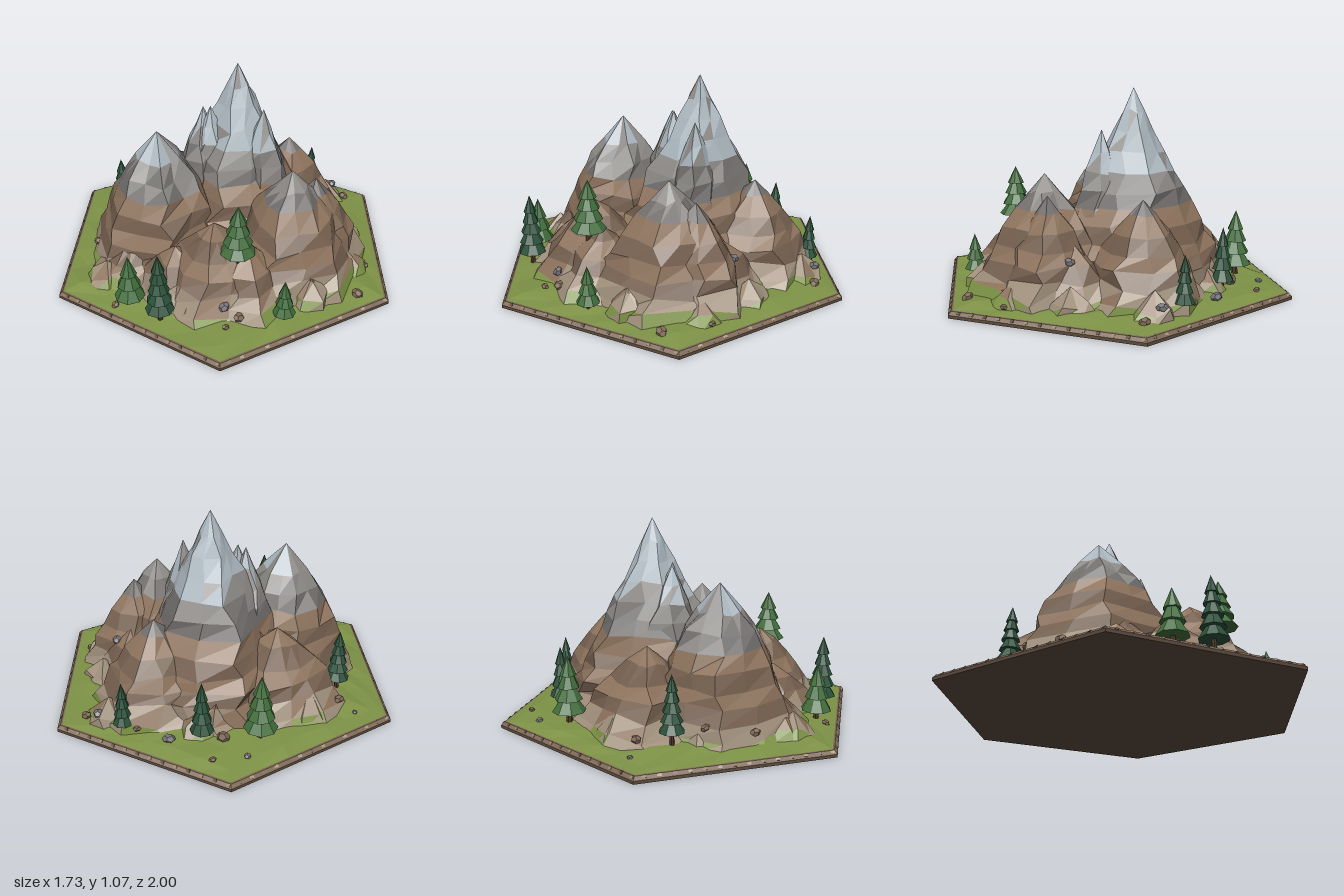
import * as THREE from 'three';

const COLORS = {
  grass: 0x7d9246, scree: 0xa0907c, lightEarth: 0x8d735d, darkEarth: 0x745f4e,
  lightRock: 0x8d8a87, darkRock: 0x716e6c, snow: 0xacb7bf,
};
const materials = {};
const paint = (color) => (materials[color] ??= new THREE.MeshStandardMaterial({ color, flatShading: true }));

function seeded(seed) {
  let s = seed * 7919 + 13;
  return () => {
    s = (s * 16807 + 11) % 2147483647;
    return s / 2147483647;
  };
}

// Distance of a point from the centre, measured towards the nearest hexagon side
const hexDistance = (x, z) => Math.max(Math.abs(x), Math.abs(x) / 2 + Math.abs(z) * 0.866);

// Width of a mountain at a fraction u of its height: bulge 0 is a straight cone, 1 the rounded profile
const PROFILE = [[0, 1], [0.1, 0.88], [0.3, 0.72], [0.54, 0.55], [0.64, 0.46], [0.8, 0.27], [1, 0]];
function widthAt(u, bulge) {
  const i = PROFILE.findIndex(([b]) => u <= b);
  const [a, ra] = PROFILE[i - 1], [b, rb] = PROFILE[i];
  return THREE.MathUtils.lerp(1 - u, ra + ((rb - ra) * (u - a)) / (b - a), bulge);
}

// x, z, height, base radius, sides, bulge
const PEAKS = [
  [0.06, -0.155, 1.07, 0.53, 10, 0],
  [-0.125, -0.1, 0.84, 0.29, 7, 1],
  [-0.085, -0.085, 0.85, 0.29, 7, 1],
  [0.2, -0.03, 0.86, 0.27, 7, 0.9],
  [-0.36, 0.08, 0.78, 0.46, 12, 1.25],
  [0.35, 0.225, 0.64, 0.45, 11, 1],
  [0.48, 0.15, 0.55, 0.34, 9, 1],
  [0.36, -0.31, 0.54, 0.38, 10, 1],
  [-0.28, -0.28, 0.46, 0.42, 11, 1],
  [-0.05, 0.43, 0.45, 0.38, 11, 1],
  [0.1, 0.47, 0.36, 0.33, 9, 1],
  [0.5, 0, 0.32, 0.27, 9, 1],
  [0.06, -0.4, 0.4, 0.29, 9, 1],
  [-0.49, 0.29, 0.28, 0.29, 9, 1],
  [-0.25, 0.43, 0.3, 0.3, 9, 1],
  // Low rubble mounds around the foot
  ...[[-0.62, 0.38, 0.16], [-0.15, 0.63, 0.17], [0.13, 0.63, 0.15], [0.45, 0.52, 0.18], [0.66, 0.25, 0.16],
    [0.66, -0.05, 0.16], [0.6, -0.45, 0.17], [0.12, -0.57, 0.17], [-0.43, -0.47, 0.19], [-0.58, -0.08, 0.16]]
    .map(([x, z, h]) => [x, z, h, 0.17, 7, 0.7]),
];
const LEVELS = [0.015, 0.085, 0.16, 0.23, 0.3, 0.38, 0.47, 0.55, 0.64, 0.74, 0.85, 0.95];

// Rock strata by height, with loose patches at the foot and near the snow line
function bandName(y, chance) {
  if (y < 0.085) return chance < 0.45 ? 'grass' : 'scree';
  if (y < 0.165) return chance < 0.7 ? 'scree' : 'lightEarth';
  if (y < 0.23) return 'darkEarth';
  if (y < 0.31) return 'lightEarth';
  if (y < 0.38) return 'darkEarth';
  if (y < 0.47) return 'lightEarth';
  if (y < 0.56) return chance < 0.7 ? 'darkRock' : 'lightRock';
  if (y < 0.64) return chance < 0.7 ? 'lightRock' : 'darkRock';
  if (y < 0.71) return chance < 0.55 ? 'snow' : 'lightRock';
  return chance < 0.92 ? 'snow' : 'lightRock';
}

// Stacked uneven rings closed by an apex; each triangle goes to its stratum
function addPeak(bands, [cx, cz, h, radius, sides, bulge], seed) {
  const rnd = seeded(seed + 3);
  const ridges = Array.from({ length: sides }, (_, i) => 0.98 + (i % 2 ? 0.07 : -0.07) + (rnd() - 0.5) * 0.1);
  const turn = rnd() * 6.28;
  const rings = LEVELS.filter((y) => y < h * 0.9).map((y, k) =>
    ridges.map((ridge, i) => {
      const a = turn + ((i + (rnd() - 0.5) * 0.4) / sides) * Math.PI * 2;
      const r = radius * widthAt(y / h, bulge) * ridge * (0.95 + rnd() * 0.11);
      const x = cx + Math.sin(a) * r, z = cz + Math.cos(a) * r;
      const fit = Math.min(1, 0.79 / hexDistance(x, z));
      const lift = k === 0 ? 0 : (rnd() - 0.5) * (k < 3 ? 0.05 : 0.025);
      return [x * fit, y + lift, z * fit];
    }));
  rings.push(ridges.map(() => [cx, h, cz]));
  const face = (a, b, c) => bands[bandName((a[1] + b[1] + c[1]) / 3, rnd())].push(...a, ...b, ...c);
  for (let k = 0; k + 1 < rings.length; k++) {
    for (let i = 0; i < sides; i++) {
      const j = (i + 1) % sides, low = rings[k], high = rings[k + 1];
      face(low[i], low[j], high[j]);
      if (k + 2 < rings.length) face(low[i], high[j], high[i]);
    }
  }
}

// Gently uneven meadow, rising towards the middle
function addMeadow(bands) {
  const rnd = seeded(91);
  const n = 36;
  const rings = [[0.972, 0.034], [0.87, 0.048], [0.74, 0.06], [0.5, 0.075]].map(([scale, y], k) =>
    Array.from({ length: n }, (_, i) => {
      const a = (i / n) * Math.PI * 2;
      const r = (0.866 * scale * (k ? 0.98 + rnd() * 0.05 : 1)) / hexDistance(Math.sin(a), Math.cos(a));
      return [Math.sin(a) * r, y + (k ? (rnd() - 0.5) * 0.02 : 0), Math.cos(a) * r];
    }));
  for (let k = 0; k < 3; k++) {
    for (let i = 0; i < n; i++) {
      const j = (i + 1) % n, low = rings[k], high = rings[k + 1];
      bands.grass.push(...low[i], ...low[j], ...high[j], ...low[i], ...high[j], ...high[i]);
    }
  }
}

function addMesh(parent, name, geometry, color, x = 0, y = 0, z = 0) {
  const mesh = new THREE.Mesh(geometry, paint(color));
  mesh.name = name;
  mesh.position.set(x, y, z);
  parent.add(mesh);
  return mesh;
}

// Fir tree: trunk and overlapping, slightly twisted cone tiers
function makeTree(x, z, base, top, radius, tiers, color) {
  const tree = new THREE.Group();
  tree.name = 'firTree';
  const h = top - base, start = h * 0.14;
  addMesh(tree, 'trunk', new THREE.CylinderGeometry(radius * 0.14, radius * 0.2, h * 0.3 + 0.03, 6), 0x4a3626, 0, h * 0.15 - 0.015, 0);
  const step = (h - start) / (tiers + 0.6);
  for (let i = 0; i < tiers; i++) {
    const r = radius * (1 - (i / tiers) * 0.68);
    const tierHeight = step * 1.6;
    const tier = addMesh(tree, 'foliageTier', new THREE.CylinderGeometry(i === tiers - 1 ? 0 : r * 0.2, r, tierHeight, 8), color,
      0, start + i * step + tierHeight / 2, 0);
    tier.rotation.y = i * 0.5 + x * 5;
  }
  tree.position.set(x, base, z);
  return tree;
}

export function createModel() {
  const model = new THREE.Group();

  // Hexagonal slab with a pale earthen rim
  const slab = new THREE.Group();
  slab.name = 'slab';
  addMesh(slab, 'earthBase', new THREE.CylinderGeometry(1, 1, 0.016, 6), 0x5a493d, 0, 0.008, 0);
  addMesh(slab, 'earthRim', new THREE.CylinderGeometry(0.982, 1, 0.016, 6), 0x7d6855, 0, 0.024, 0);
  const rimRnd = seeded(5);
  for (let s = 0; s < 6; s++) {
    const a = (s * Math.PI) / 3 + Math.PI / 2;
    for (let i = 0; i < 14; i++) {
      const t = (i - 6.5) / 14;
      const clod = addMesh(slab, 'rimClod', new THREE.ConeGeometry(0.012, 0.05, 4), i % 2 ? 0x9c8870 : 0x655343,
        Math.sin(a) * 0.852 + Math.cos(a) * t, 0.023, Math.cos(a) * 0.852 - Math.sin(a) * t);
      clod.rotation.set(0, a, Math.PI / 2 + (rimRnd() - 0.5) * 0.15);
    }
  }
  model.add(slab);

  // Mountain range and meadow, one mesh per stratum
  const terrain = new THREE.Group();
  terrain.name = 'terrain';
  const bands = Object.fromEntries(Object.keys(COLORS).map((name) => [name, []]));
  addMeadow(bands);
  PEAKS.forEach((peak, i) => addPeak(bands, peak, i));
  for (const [name, points] of Object.entries(bands)) {
    const geometry = new THREE.BufferGeometry();
    geometry.setAttribute('position', new THREE.Float32BufferAttribute(points, 3));
    geometry.computeVertexNormals();
    addMesh(terrain, name, geometry, COLORS[name]);
  }
  model.add(terrain);
  terrain.updateMatrixWorld(true);

  // Trees: x, z, base, top, radius, tiers, color
  const fir = 0x426e3d, spruce = 0x2a513a;
  [
    [-0.475, 0.58, 0.06, 0.34, 0.08, 3, fir], [-0.31, 0.695, 0.06, 0.44, 0.075, 5, spruce],
    [0.075, 0.535, 0.31, 0.62, 0.092, 4, fir], [0.31, 0.67, 0.05, 0.275, 0.06, 3, fir],
    [0.52, -0.57, 0.06, 0.33, 0.052, 4, spruce], [0.125, -0.66, 0.06, 0.38, 0.062, 4, spruce],
    [-0.165, -0.665, 0.07, 0.41, 0.088, 4, fir], [-0.62, -0.25, 0.08, 0.41, 0.065, 5, spruce],
  ].forEach((t) => model.add(makeTree(...t)));

  // Boulders resting on the ground: x, z, size
  const rnd = seeded(17);
  const ray = new THREE.Raycaster();
  const down = new THREE.Vector3(0, -1, 0);
  [
    [-0.09, -0.81, 0.02], [0.08, -0.83, 0.02], [0.02, -0.68, 0.04], [0.29, -0.67, 0.035], [0.45, -0.6, 0.022],
    [-0.6, -0.42, 0.03], [-0.68, -0.47, 0.015], [-0.67, -0.1, 0.025], [-0.71, 0.14, 0.028], [0.58, -0.01, 0.03],
    [0.77, 0.25, 0.02], [0.7, 0.49, 0.032], [0.01, 0.69, 0.03], [0.085, 0.72, 0.03], [0.02, 0.77, 0.02],
    [0.65, -0.5, 0.03], [0.72, -0.44, 0.03], [-0.55, 0.6, 0.022],
  ].forEach(([x, z, size], i) => {
    ray.set(new THREE.Vector3(x, 2, z), down);
    const ground = ray.intersectObject(terrain, true)[0].point.y;
    const rock = addMesh(model, 'boulder', new THREE.DodecahedronGeometry(size, 0), i % 3 ? 0x806a58 : 0x77757a, x, ground + size * 0.3, z);
    rock.scale.set(1, 0.7, 0.85);
    rock.rotation.set(rnd() * 0.6, rnd() * 6, rnd() * 0.6);
  });
  return model;
}
